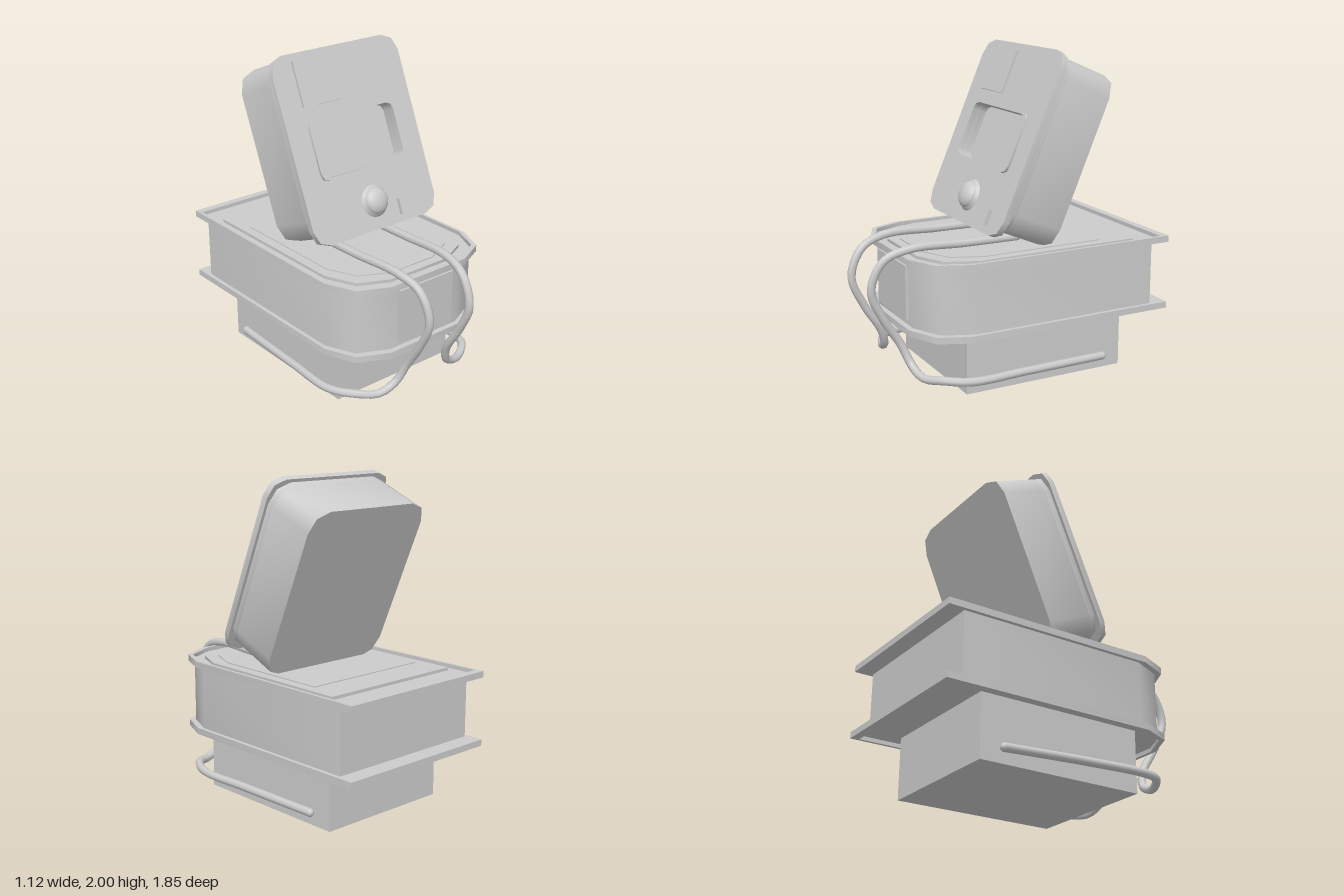
import * as THREE from 'three';
import { toCreasedNormals } from 'three/addons/utils/BufferGeometryUtils.js';

const grey = new THREE.MeshStandardMaterial({ color: 0xcccccc });

function add(parent, name, geometry, x = 0, y = 0, z = 0) {
  const mesh = new THREE.Mesh(geometry, grey);
  mesh.name = name;
  mesh.position.set(x, y, z);
  parent.add(mesh);
  return mesh;
}

const toPoints = (list) => list.map(([x, y]) => new THREE.Vector2(x, y));

// Plan of the housing: square at the back, chamfered nose at the front (shape y = -z)
function plan(halfWidth, back, front) {
  const w = halfWidth;
  return toPoints([
    [-w, -back], [-w, 0.28 - front], [0.08 - w, 0.09 - front], [0.27 - w, -front],
    [w - 0.27, -front], [w - 0.08, 0.09 - front], [w, 0.28 - front], [w, -back],
  ]);
}

// Rectangle whose corners are cut by two facets each
function softRect(x0, x1, y0, y1, r) {
  const k = r * 0.28;
  return toPoints([
    [x0 + r, y0], [x1 - r, y0], [x1 - k, y0 + k], [x1, y0 + r],
    [x1, y1 - r], [x1 - k, y1 - k], [x1 - r, y1], [x0 + r, y1],
    [x0 + k, y1 - k], [x0, y1 - r], [x0, y0 + r], [x0 + k, y0 + k],
  ]);
}

function extrude(outline, depth, hole) {
  const shape = new THREE.Shape(outline);
  if (hole) shape.holes.push(new THREE.Path(hole));
  const geometry = new THREE.ExtrudeGeometry(shape, { depth, bevelEnabled: false });
  return toCreasedNormals(geometry, 0.85);
}

// Horizontal slab between two heights
function slab(parent, name, outline, y0, y1, hole) {
  return add(parent, name, extrude(outline, y1 - y0, hole).rotateX(-Math.PI / 2), 0, y0, 0);
}

function createBase() {
  const base = new THREE.Group();
  base.name = 'base';
  add(base, 'plinth', new THREE.BoxGeometry(0.9, 0.39, 1.07), 0, 0.195, -0.115);
  slab(base, 'housing', plan(0.535, -0.82, 0.68), 0.385, 0.8);
  add(base, 'frontPlaque', new THREE.BoxGeometry(0.42, 0.34, 0.04), 0, 0.6, 0.68);

  // Flanges with raised rims facing away from the housing
  const outer = plan(0.56, -0.93, 0.715);
  const inner = plan(0.54, -0.88, 0.69);
  slab(base, 'lowerFlange', outer, 0.385, 0.4);
  slab(base, 'lowerRim', outer, 0.36, 0.385, inner);
  slab(base, 'upperFlange', outer, 0.79, 0.805);
  slab(base, 'upperRim', outer, 0.805, 0.83, inner);

  // Stepped platform under the head
  slab(base, 'platform', plan(0.49, -0.71, 0.63), 0.805, 0.824);
  slab(base, 'platformStep', plan(0.43, -0.5, 0.57), 0.824, 0.83);
  return base;
}

function createHead() {
  const head = new THREE.Group();
  head.name = 'head';
  head.position.set(0.025, 1.47, 0.025);
  head.rotation.x = -0.404;

  // Face plate and case, pierced by the window
  const opening = softRect(-0.315, 0.315, -0.19, 0.16, 0.045);
  add(head, 'facePlate', extrude(softRect(-0.485, 0.485, -0.575, 0.575, 0.11), 0.04, opening), 0, 0, -0.04);
  const body = softRect(-0.465, 0.465, -0.535, 0.555, 0.13);
  add(head, 'caseFront', extrude(body, 0.04, opening), 0, 0, -0.08);
  add(head, 'case', extrude(body, 0.32), 0, 0, -0.4);
  add(head, 'windowFrame',
    extrude(softRect(-0.335, 0.335, -0.206, 0.174, 0.055), 0.016, opening));

  // Face details
  add(head, 'squarePanel', new THREE.BoxGeometry(0.285, 0.28, 0.03), -0.19, 0.39, 0);
  add(head, 'smallButton', new THREE.BoxGeometry(0.145, 0.1, 0.05), 0.25, -0.48, 0);
  add(head, 'knobCollar',
    new THREE.CylinderGeometry(0.085, 0.1, 0.02, 20).rotateX(Math.PI / 2), 0.01, -0.4, 0.01);
  const dome = new THREE.SphereGeometry(0.084, 20, 8, 0, Math.PI * 2, 0, Math.PI / 2);
  add(head, 'knob', dome.scale(1, 0.6, 1).rotateX(Math.PI / 2), 0.01, -0.4, 0.015);
  return head;
}

// Cable from beneath the head, over the nose, and back along the plinth
function createCable(side) {
  const path = [
    [0.2, 0.85, -0.05], [0.2, 0.855, 0.3], [0.19, 0.86, 0.66], [0.17, 0.8, 0.82],
    [0.16, 0.63, 0.895], [0.16, 0.44, 0.82], [0.165, 0.27, 0.715], [0.21, 0.15, 0.67],
    [0.32, 0.1, 0.645], [0.45, 0.115, 0.57], [0.52, 0.105, 0.42],
    [0.51, 0.1, 0.05], [0.475, 0.085, -0.51],
  ].map(([x, y, z]) => new THREE.Vector3(side * x, y, z));
  const geometry = new THREE.TubeGeometry(new THREE.CatmullRomCurve3(path), 72, 0.026, 8);
  const cable = new THREE.Group();
  cable.name = side > 0 ? 'leftCable' : 'rightCable';
  add(cable, 'cord', geometry);
  // Rounded tips
  for (const p of [path[0], path[path.length - 1]]) {
    add(cable, 'cordTip', new THREE.SphereGeometry(0.026, 8, 6), p.x, p.y, p.z);
  }
  return cable;
}

export function createModel() {
  const model = new THREE.Group();
  model.name = 'instrument';
  model.add(createBase(), createHead(), createCable(1), createCable(-1));
  return model;
}
